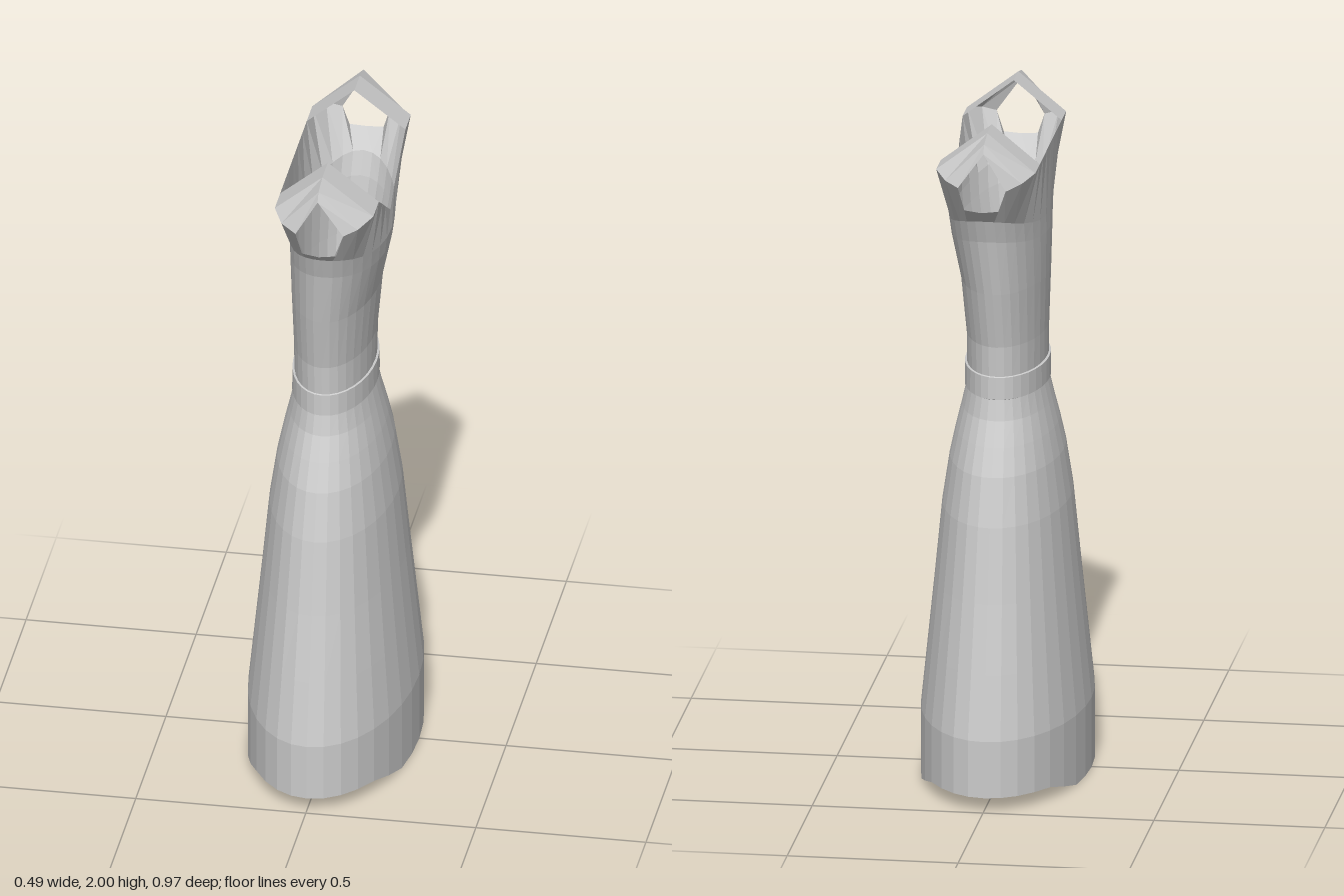
import * as THREE from 'three';

const material = new THREE.MeshStandardMaterial({ color: 0xcccccc, flatShading: true, side: THREE.DoubleSide });
const COLUMNS = 32;

// Skin a list of cross-sections (each a list of [x, y, z] points).
function loft(name, rows, closed) {
  const n = rows[0].length, index = [];
  for (let i = 0; i < rows.length - 1; i++) {
    for (let k = 0; k < (closed ? n : n - 1); k++) {
      const a = i * n + k, b = i * n + (k + 1) % n;
      index.push(a, a + n, b, b, a + n, b + n);
    }
  }
  const geometry = new THREE.BufferGeometry();
  geometry.setAttribute('position', new THREE.Float32BufferAttribute(rows.flat(2), 3));
  geometry.setIndex(index);
  geometry.computeVertexNormals();
  const mesh = new THREE.Mesh(geometry, material);
  mesh.name = name;
  return mesh;
}

// Elliptical ring; height may be a function of the point's z and sine.
function ring(height, rx, rz, cx = 0) {
  return Array.from({ length: COLUMNS }, (_, k) => {
    const t = k / COLUMNS * Math.PI * 2, s = Math.sin(t), z = rz * s;
    return [cx + rx * Math.cos(t), typeof height === 'function' ? height(z, s) : height, z];
  });
}

export function createModel() {
  const group = new THREE.Group();
  group.name = 'dress';

  // Skirt: hem dips on the two broad sides
  const hem = z => 0.04 * THREE.MathUtils.clamp((Math.abs(z) - 0.19) / 0.16, 0, 1);
  group.add(loft('skirt', [
    ring(hem, 0.245, 0.485),
    ring(0.21, 0.245, 0.485),
    ring(0.4, 0.226, 0.447),
    ring(0.6, 0.206, 0.405),
    ring(0.82, 0.185, 0.362),
    ring(0.96, 0.164, 0.322),
    ring(1.04, 0.147, 0.285),
    ring(1.11, 0.13, 0.25),
    ring(1.17, 0.116, 0.235),
  ], true));

  // Neckline and armhole edge for one half, from the V side to the straight side
  const edge = [
    [0.16, 1.74, 0], [0.16, 1.79, 0.075], [0.163, 1.84, 0.15], [0.165, 1.885, 0.22],
    [0.165, 1.885, 0.31], [0.13, 1.87, 0.37], [0.09, 1.855, 0.39], [0.07, 1.79, 0.395],
    [0.02, 1.785, 0.4], [-0.03, 1.79, 0.395], [-0.05, 1.85, 0.39], [-0.095, 1.87, 0.37],
    [-0.125, 1.885, 0.31], [-0.125, 1.885, 0.22], [-0.125, 1.885, 0.15],
    [-0.125, 1.885, 0.075], [-0.125, 1.885, 0],
  ];
  const rim = [...edge, ...edge.slice(1, -1).reverse().map(([x, y, z]) => [x, y, -z])];
  group.add(loft('bodice', [
    ring(1.17, 0.116, 0.235),
    ring(1.24, 0.115, 0.234),
    ring(1.33, 0.116, 0.24),
    ring(1.5, 0.126, 0.277, 0.005),
    ring((z, s) => 1.63 + 0.04 * s * s, 0.141, 0.312, 0.017),
    ring((z, s) => 1.68 + 0.06 * s * s, 0.144, 0.337, 0.02),
    rim,
  ], true));

  // Waistband
  group.add(loft('waistband', [
    ring(1.17, 0.116, 0.235),
    ring(1.172, 0.122, 0.239),
    ring(1.238, 0.121, 0.238),
    ring(1.24, 0.115, 0.234),
  ], true));

  // Peaked shoulder straps, curling down towards each armhole
  const strap = [
    [[-0.125, 1.885, 0.22], [0.015, 2, 0.22], [0.165, 1.885, 0.22]],
    [[-0.125, 1.885, 0.31], [0.015, 2, 0.31], [0.165, 1.885, 0.31]],
    [[-0.095, 1.87, 0.37], [0.015, 1.985, 0.375], [0.13, 1.87, 0.37]],
    [[-0.05, 1.85, 0.39], [0.015, 1.96, 0.39], [0.09, 1.855, 0.39]],
  ];
  group.add(loft('frontStrap', strap, false));
  group.add(loft('backStrap', strap.map(row => row.map(([x, y, z]) => [x, y, -z]).reverse()), false));

  return group;
}
